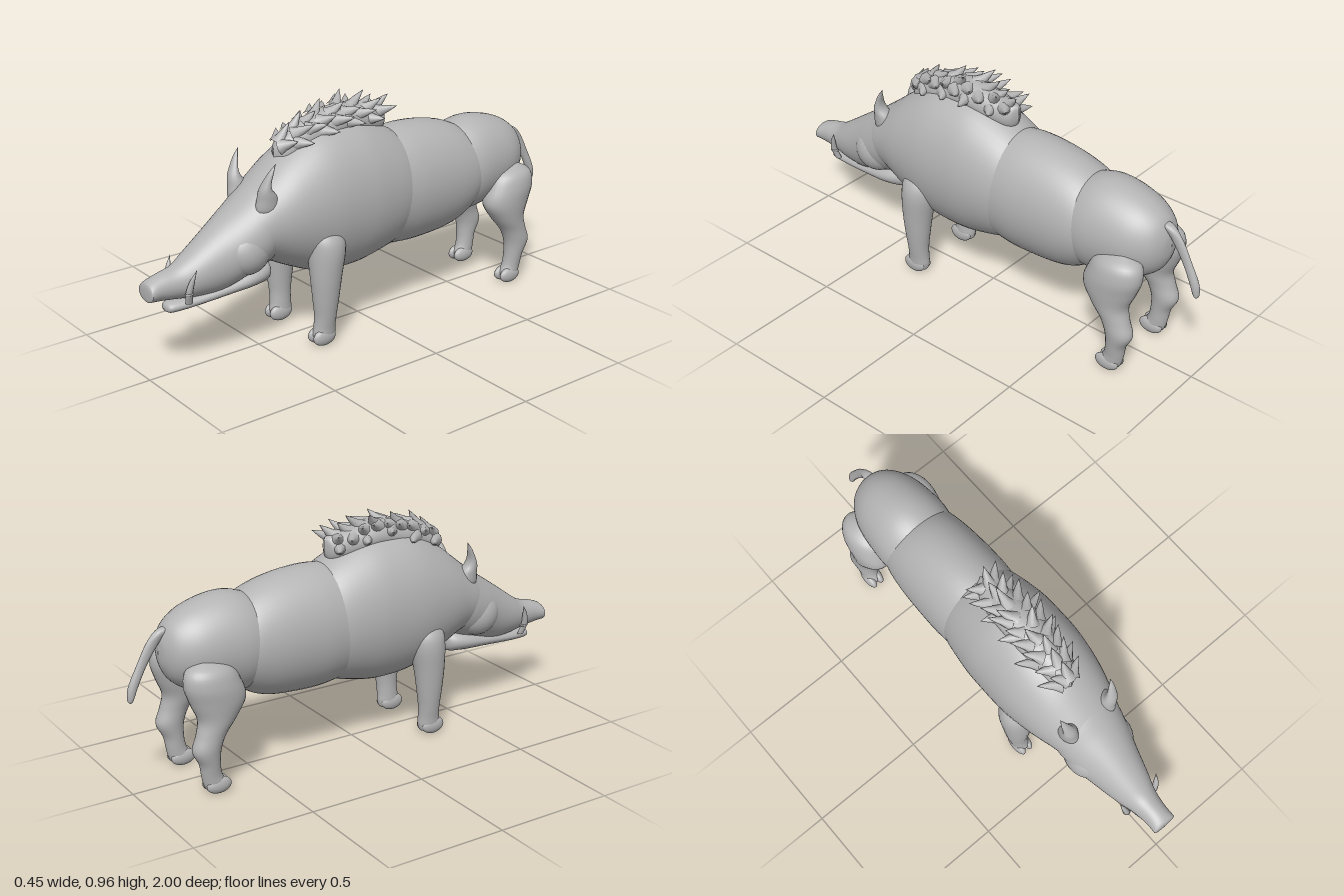
import * as THREE from 'three';
import { mergeGeometries } from 'three/addons/utils/BufferGeometryUtils.js';

// Smooth closed skin through elliptical sections [x, y, z, radiusA, radiusB],
// listed in ascending order along the chosen axis ('z' or 'y').
function loft(sections, axis, sides = 32, steps = 5) {
  const curve = (pts) => new THREE.CatmullRomCurve3(pts, false, 'catmullrom', 0.5);
  const centre = curve(sections.map((s) => new THREE.Vector3(s[0], s[1], s[2])));
  const radius = curve(sections.map((s) => new THREE.Vector3(s[3], s[4], 0)));
  const rings = (sections.length - 1) * steps;
  const pos = [], index = [];
  for (let i = 0; i <= rings; i++) {
    const c = centre.getPoint(i / rings), r = radius.getPoint(i / rings);
    const a = Math.max(r.x, 0.0008), b = Math.max(r.y, 0.0008);
    for (let j = 0; j < sides; j++) {
      const t = (j / sides) * Math.PI * 2, u = a * Math.cos(t), v = b * Math.sin(t);
      if (axis === 'z') pos.push(c.x + u, c.y + v, c.z);
      else pos.push(c.x + u, c.y, c.z - v);
      if (i < rings) {
        const k = (j + 1) % sides, p = i * sides, q = p + sides;
        index.push(p + j, p + k, q + j, p + k, q + k, q + j);
      }
    }
  }
  const geo = new THREE.BufferGeometry();
  geo.setAttribute('position', new THREE.Float32BufferAttribute(pos, 3));
  geo.setIndex(index);
  geo.computeVertexNormals();
  return geo;
}

// Body sections written as [z, top, bottom, half width]
const bodyLoft = (rows) =>
  loft(rows.map(([z, top, bot, w]) => [0, (top + bot) / 2, z, w, (top - bot) / 2]), 'z', 48);

export function createModel() {
  const model = new THREE.Group();
  const grey = new THREE.MeshStandardMaterial({ color: 0xb4b4b4 });
  grey.name = 'grey hide';
  const add = (name, geo) => {
    const mesh = new THREE.Mesh(geo, grey);
    mesh.name = name;
    model.add(mesh);
    return mesh;
  };
  const ball = (name, p, s) => {
    const mesh = add(name, new THREE.SphereGeometry(1, 24, 16));
    mesh.position.set(...p);
    mesh.scale.set(...s);
    return mesh;
  };

  // Three overlapping body masses
  add('shoulders', bodyLoft([
    [-0.3, 0.58, 0.5, 0.02], [-0.25, 0.68, 0.4, 0.11], [-0.16, 0.775, 0.31, 0.18],
    [0, 0.85, 0.262, 0.21], [0.12, 0.87, 0.25, 0.215], [0.25, 0.855, 0.265, 0.212],
    [0.38, 0.79, 0.32, 0.192], [0.48, 0.715, 0.37, 0.165], [0.58, 0.63, 0.4, 0.13],
    [0.65, 0.55, 0.45, 0.06], [0.67, 0.5, 0.48, 0]]));
  add('barrel', bodyLoft([
    [-0.63, 0.55, 0.5, 0], [-0.61, 0.62, 0.44, 0.1], [-0.55, 0.7, 0.36, 0.16],
    [-0.45, 0.755, 0.3, 0.183], [-0.3, 0.786, 0.28, 0.192], [-0.15, 0.785, 0.285, 0.19],
    [0, 0.74, 0.33, 0.16], [0.06, 0.6, 0.45, 0]]));
  add('rump', bodyLoft([
    [-0.865, 0.57, 0.54, 0], [-0.855, 0.62, 0.49, 0.05], [-0.82, 0.675, 0.43, 0.105],
    [-0.74, 0.722, 0.38, 0.15], [-0.62, 0.75, 0.35, 0.17], [-0.52, 0.738, 0.345, 0.168],
    [-0.42, 0.68, 0.4, 0.13], [-0.37, 0.58, 0.5, 0]]));

  // Head, long snout and lower jaw
  add('head', bodyLoft([
    [0.38, 0.58, 0.5, 0], [0.41, 0.68, 0.42, 0.11], [0.5, 0.69, 0.36, 0.15],
    [0.6, 0.622, 0.325, 0.14], [0.7, 0.555, 0.295, 0.112], [0.8, 0.485, 0.298, 0.085],
    [0.87, 0.44, 0.308, 0.063], [0.94, 0.422, 0.318, 0.052], [0.985, 0.405, 0.324, 0.052],
    [0.997, 0.39, 0.328, 0.047], [1, 0.362, 0.352, 0]]));
  add('lowerJaw', bodyLoft([
    [0.455, 0.34, 0.32, 0], [0.475, 0.375, 0.285, 0.06], [0.55, 0.37, 0.278, 0.085],
    [0.65, 0.345, 0.274, 0.078], [0.8, 0.315, 0.262, 0.055], [0.89, 0.305, 0.258, 0.04],
    [0.915, 0.295, 0.264, 0.028], [0.922, 0.28, 0.274, 0]]));

  // Tail with a thicker tip
  add('tail', loft([
    [0, 0.375, -0.988, 0, 0], [0, 0.39, -0.988, 0.013, 0.012], [0, 0.44, -0.975, 0.016, 0.02],
    [0, 0.52, -0.935, 0.012, 0.022], [0, 0.6, -0.885, 0.014, 0.028],
    [0, 0.645, -0.84, 0.02, 0.028], [0, 0.655, -0.82, 0, 0]], 'y', 16));

  // Paired parts
  for (const s of [1, -1]) {
    const side = s > 0 ? 'left' : 'right';
    const pair = (rows, sides) => loft(rows.map(([x, ...r]) => [x * s, ...r]), 'y', sides);
    add(side + 'FrontLeg', pair([
      [0.15, 0.012, 0.285, 0, 0], [0.15, 0.018, 0.285, 0.026, 0.036], [0.15, 0.045, 0.288, 0.036, 0.05],
      [0.152, 0.08, 0.286, 0.038, 0.047], [0.156, 0.13, 0.284, 0.042, 0.047],
      [0.158, 0.2, 0.283, 0.05, 0.055], [0.157, 0.3, 0.28, 0.062, 0.066],
      [0.15, 0.4, 0.272, 0.075, 0.077], [0.142, 0.46, 0.272, 0.068, 0.072],
      [0.13, 0.505, 0.275, 0.035, 0.045], [0.125, 0.515, 0.275, 0, 0]], 28));
    add(side + 'HindLeg', pair([
      [0.15, 0.012, -0.725, 0, 0], [0.15, 0.018, -0.725, 0.026, 0.034], [0.15, 0.045, -0.726, 0.035, 0.047],
      [0.151, 0.08, -0.738, 0.036, 0.042], [0.154, 0.13, -0.746, 0.04, 0.043],
      [0.156, 0.19, -0.757, 0.047, 0.059], [0.155, 0.25, -0.735, 0.05, 0.062],
      [0.15, 0.31, -0.705, 0.062, 0.08], [0.145, 0.38, -0.697, 0.075, 0.115],
      [0.143, 0.45, -0.717, 0.078, 0.116], [0.138, 0.51, -0.73, 0.062, 0.088],
      [0.13, 0.545, -0.74, 0, 0]], 28));
    // Cloven hooves
    for (const toe of [-1, 1]) {
      ball(side + 'FrontToe', [0.15 * s + toe * 0.0185, 0.038, 0.298], [0.021, 0.036, 0.053]);
      ball(side + 'HindToe', [0.15 * s + toe * 0.0185, 0.036, -0.716], [0.021, 0.034, 0.053]);
    }
    ball(side + 'Cheek', [0.07 * s, 0.45, 0.592], [0.08, 0.095, 0.1]);
    // Ears rising from a swollen brow
    add(side + 'Ear', pair([
      [0.09, 0.57, 0.5, 0, 0], [0.093, 0.6, 0.505, 0.035, 0.05], [0.1, 0.655, 0.512, 0.036, 0.042],
      [0.106, 0.69, 0.523, 0.03, 0.026], [0.112, 0.72, 0.52, 0.022, 0.016],
      [0.121, 0.76, 0.505, 0.012, 0.009], [0.127, 0.793, 0.488, 0, 0]], 16));
    // Tusks with a collar of gum
    add(side + 'Tusk', pair([
      [0.06, 0.3, 0.848, 0.012, 0.014], [0.076, 0.35, 0.855, 0.013, 0.014],
      [0.087, 0.4, 0.846, 0.009, 0.01], [0.096, 0.442, 0.83, 0, 0]], 12));
    const collar = add(side + 'TuskCollar', new THREE.TorusGeometry(0.012, 0.005, 8, 16));
    collar.position.set(0.074 * s, 0.343, 0.854);
    collar.rotation.set(Math.PI / 2, 0.25 * s, 0);
  }

  // Mane: a wide ridge covered with broad swept-back tufts
  const mane = [
    [-0.13, 0.875, 0.83, 0], [-0.1, 0.89, 0.78, 0.045], [0, 0.91, 0.78, 0.068],
    [0.1, 0.925, 0.8, 0.078], [0.2, 0.91, 0.78, 0.075], [0.3, 0.885, 0.76, 0.065],
    [0.38, 0.84, 0.73, 0.048], [0.41, 0.8, 0.75, 0]];
  add('maneRidge', bodyLoft(mane));
  let seed = 11;
  const rand = () => (seed = (seed * 16807) % 2147483647) / 2147483647;
  const up = new THREE.Vector3(0, 1, 0), tufts = [];
  for (let row = 0; row < 9; row++) {
    const z = -0.085 + row * 0.058;
    const k = mane.findIndex((m) => m[0] >= z);
    const f = (z - mane[k - 1][0]) / (mane[k][0] - mane[k - 1][0]);
    const [top, bot, w] = [1, 2, 3].map((n) => THREE.MathUtils.lerp(mane[k - 1][n], mane[k][n], f));
    for (let n = -1.5; n <= 1.5; n++) {
      const a = n * 0.75 + (rand() - 0.5) * 0.4 + (row % 2 ? 0.2 : -0.2);
      const dir = new THREE.Vector3(Math.sin(a), Math.cos(a) * 0.5, -0.8 + rand() * 0.5).normalize();
      const len = 0.07 + rand() * 0.03;
      // Concave profile from a broad root to a thin tip
      const tuft = new THREE.LatheGeometry(
        [[0.034, 0], [0.02, 0.3], [0.011, 0.65], [0, 1]].map(([r, h]) => new THREE.Vector2(r, h * len)), 9);
      tuft.applyQuaternion(new THREE.Quaternion().setFromUnitVectors(up, dir));
      const base = new THREE.Vector3(
        Math.sin(a) * w * 0.9, (top + bot) / 2 + Math.cos(a) * (top - bot) * 0.45, z);
      base.addScaledVector(dir, -0.015);
      tuft.translate(base.x, base.y, base.z);
      tufts.push(tuft);
    }
  }
  add('maneTufts', mergeGeometries(tufts));
  return model;
}
